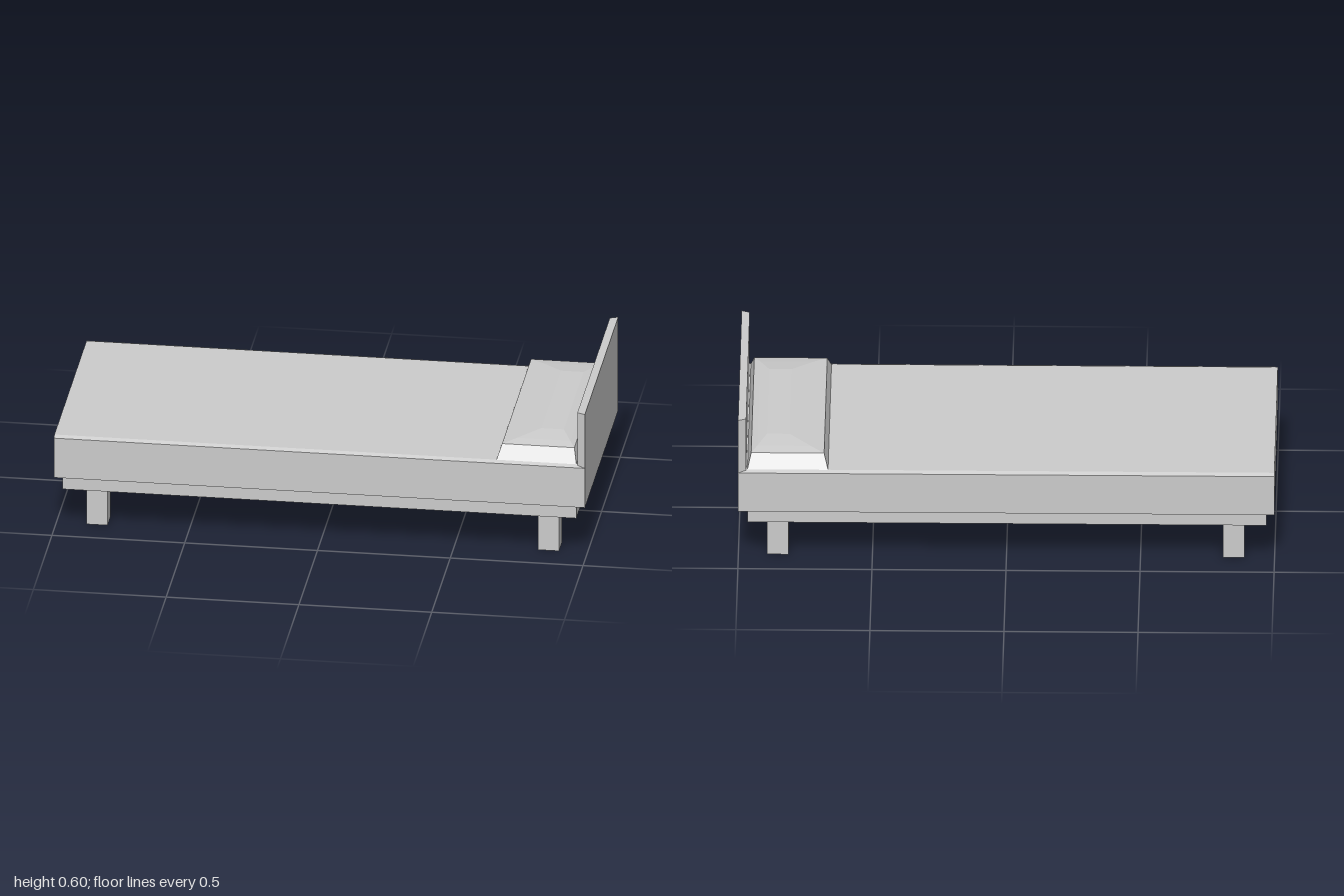
import * as THREE from 'three';

const material = new THREE.MeshStandardMaterial({ color: 0xcccccc, flatShading: true, side: THREE.DoubleSide });

function add(group, name, geometry) {
  const mesh = new THREE.Mesh(geometry, material);
  mesh.name = name;
  group.add(mesh);
  return mesh;
}

// Box given by its limits on each axis
function block(group, name, [x0, x1], [y0, y1], [z0, z1]) {
  const mesh = add(group, name, new THREE.BoxGeometry(x1 - x0, y1 - y0, z1 - z0));
  mesh.position.set((x0 + x1) / 2, (y0 + y1) / 2, (z0 + z1) / 2);
}

// Stack of rectangles [y, x0, x1, halfDepth], joined by sloping sides and capped
function stack(levels) {
  const positions = [];
  const index = [];
  for (const [y, x0, x1, d] of levels) {
    positions.push(x0, y, d, x1, y, d, x1, y, -d, x0, y, -d);
  }
  for (let i = 0; i < levels.length - 1; i++) {
    for (let j = 0; j < 4; j++) {
      const a = i * 4 + j, b = i * 4 + (j + 1) % 4;
      index.push(a, b, b + 4, a, b + 4, a + 4);
    }
  }
  const t = (levels.length - 1) * 4;
  index.push(0, 2, 1, 0, 3, 2, t, t + 1, t + 2, t, t + 2, t + 3);
  const geometry = new THREE.BufferGeometry();
  geometry.setAttribute('position', new THREE.Float32BufferAttribute(positions, 3));
  geometry.setIndex(index);
  const flat = geometry.toNonIndexed();
  flat.computeVertexNormals();
  return flat;
}

export function createModel() {
  const bed = new THREE.Group();
  bed.name = 'bed';

  // Mattress with softened long top edges
  add(bed, 'mattress', stack([
    [0.214, -1, 1, 0.45],
    [0.375, -1, 1, 0.45],
    [0.382, -1, 1, 0.432],
  ]));

  // Recessed base frame
  block(bed, 'baseFrame', [-0.97, 0.965], [0.16, 0.214], [-0.43, 0.43]);

  // Four square legs
  for (const [end, x] of [['foot', -0.847], ['head', 0.853]]) {
    for (const side of [-1, 1]) {
      block(bed, end + (side > 0 ? 'FrontLeg' : 'BackLeg'),
        [x - 0.04, x + 0.04], [0, 0.16], [side * 0.34 - 0.04, side * 0.34 + 0.04]);
    }
  }

  // Headboard, slightly narrower on its inner face
  const plan = new THREE.Shape([
    new THREE.Vector2(0.97, -0.437), new THREE.Vector2(1, -0.45),
    new THREE.Vector2(1, 0.45), new THREE.Vector2(0.97, 0.437),
  ]);
  const headboard = new THREE.ExtrudeGeometry(plan, { depth: 0.22, bevelEnabled: false });
  headboard.rotateX(-Math.PI / 2).translate(0, 0.375, 0);
  add(bed, 'headboard', headboard);

  // Pillow with sloped sides and a low crown
  add(bed, 'pillow', stack([
    [0.38, 0.664, 0.966, 0.434],
    [0.43, 0.68, 0.952, 0.39],
    [0.437, 0.73, 0.93, 0.345],
    [0.446, 0.81, 0.895, 0.265],
  ]));

  return bed;
}
